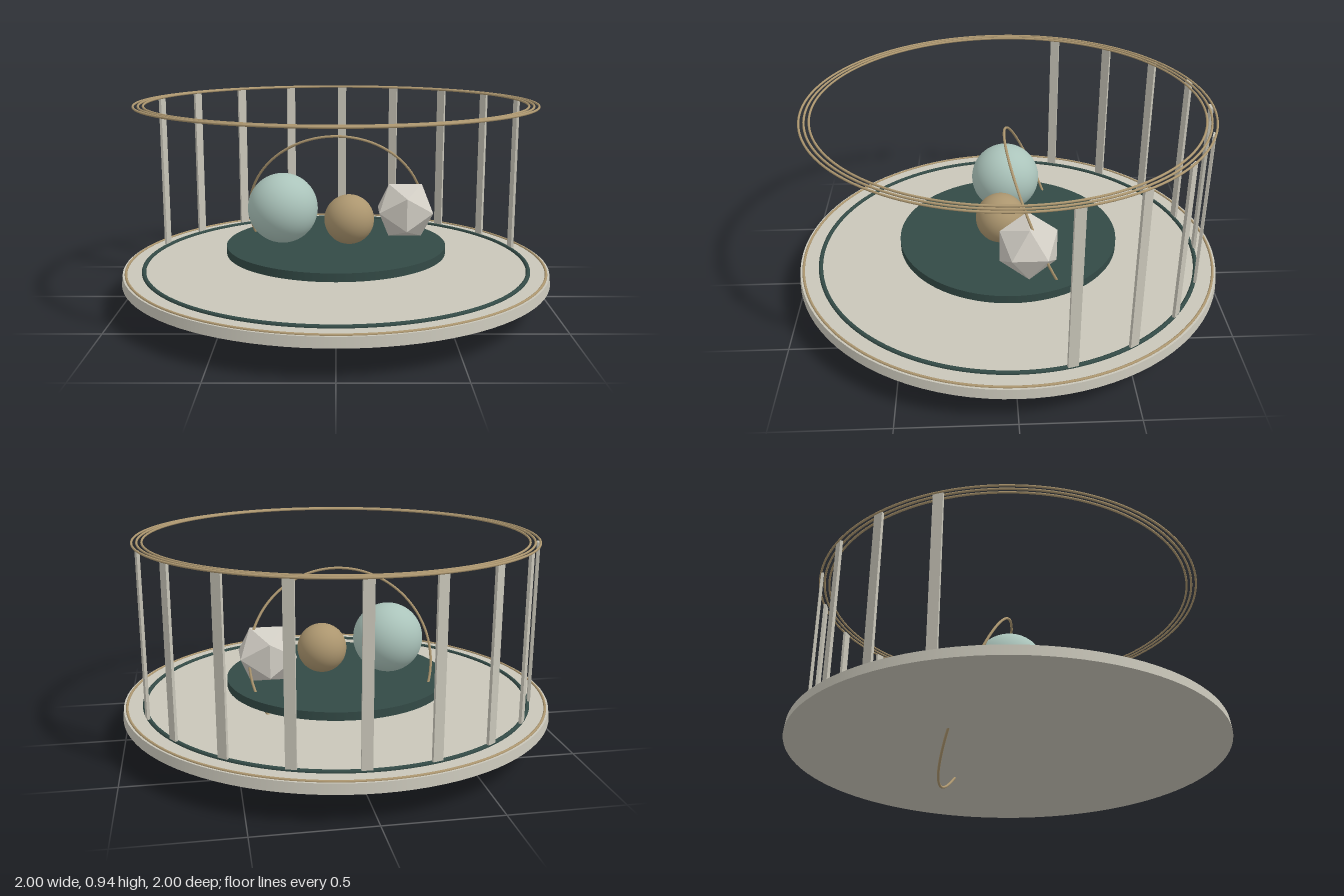
import * as THREE from 'three';

const mat = (name, color, flatShading = false) => {
  const m = new THREE.MeshStandardMaterial({ color, flatShading });
  m.name = name;
  return m;
};

export function createModel() {
  const cream = mat('cream', 0xc9c6b9);
  const darkGreen = mat('dark green', 0x334a46);
  const bronze = mat('bronze', 0xac966f);
  const paleTeal = mat('pale teal', 0xabc4bb);
  const stone = mat('stone', 0xd2cec5, true);

  const model = new THREE.Group();
  model.name = 'pavilion';

  const add = (name, geometry, material, x = 0, y = 0, z = 0) => {
    const mesh = new THREE.Mesh(geometry, material);
    mesh.name = name;
    mesh.position.set(x, y, z);
    model.add(mesh);
    return mesh;
  };
  // Horizontal ring lying around the y axis
  const ring = (name, radius, tube, material, y) =>
    add(name, new THREE.TorusGeometry(radius, tube, 10, 128).rotateX(Math.PI / 2), material, 0, y, 0);

  // Base plate with its inlaid rings
  add('base', new THREE.CylinderGeometry(0.995, 1, 0.044, 96), cream, 0, 0.166, 0);
  ring('baseRim', 0.98, 0.006, bronze, 0.189);
  ring('baseInlay', 0.9, 0.01, darkGreen, 0.19);

  // Raised stage
  add('stage', new THREE.CylinderGeometry(0.517, 0.517, 0.038, 80), darkGreen, 0, 0.264, 0);

  // Slats fanned around the back
  const slat = new THREE.BoxGeometry(0.045, 0.745, 0.013);
  for (let i = -4; i <= 4; i++) {
    const a = THREE.MathUtils.degToRad(2.2 + i * 18.4);
    const post = add('slat', slat, cream, 0.907 * Math.sin(a), 0.571, -0.907 * Math.cos(a));
    post.rotation.y = -a;
  }

  // Three fine rings on top
  for (const r of [0.87, 0.892, 0.914]) ring('topRing', r, 0.005, bronze, 0.948);

  // Solids on the stage
  add('largeSphere', new THREE.SphereGeometry(0.165, 48, 32), paleTeal, -0.251, 0.45, 0.003);
  add('smallSphere', new THREE.SphereGeometry(0.117, 40, 28), bronze, 0.062, 0.403, 0.037);
  add('facetedSolid', new THREE.IcosahedronGeometry(0.15, 0), stone, 0.333, 0.421, -0.076);

  // Tilted hoop passing through the stage and base
  const hoop = add('tiltedHoop', new THREE.TorusGeometry(0.422, 0.006, 10, 112), bronze, 0, 0.403, -0.147);
  hoop.rotation.x = 0.4;

  return model;
}
